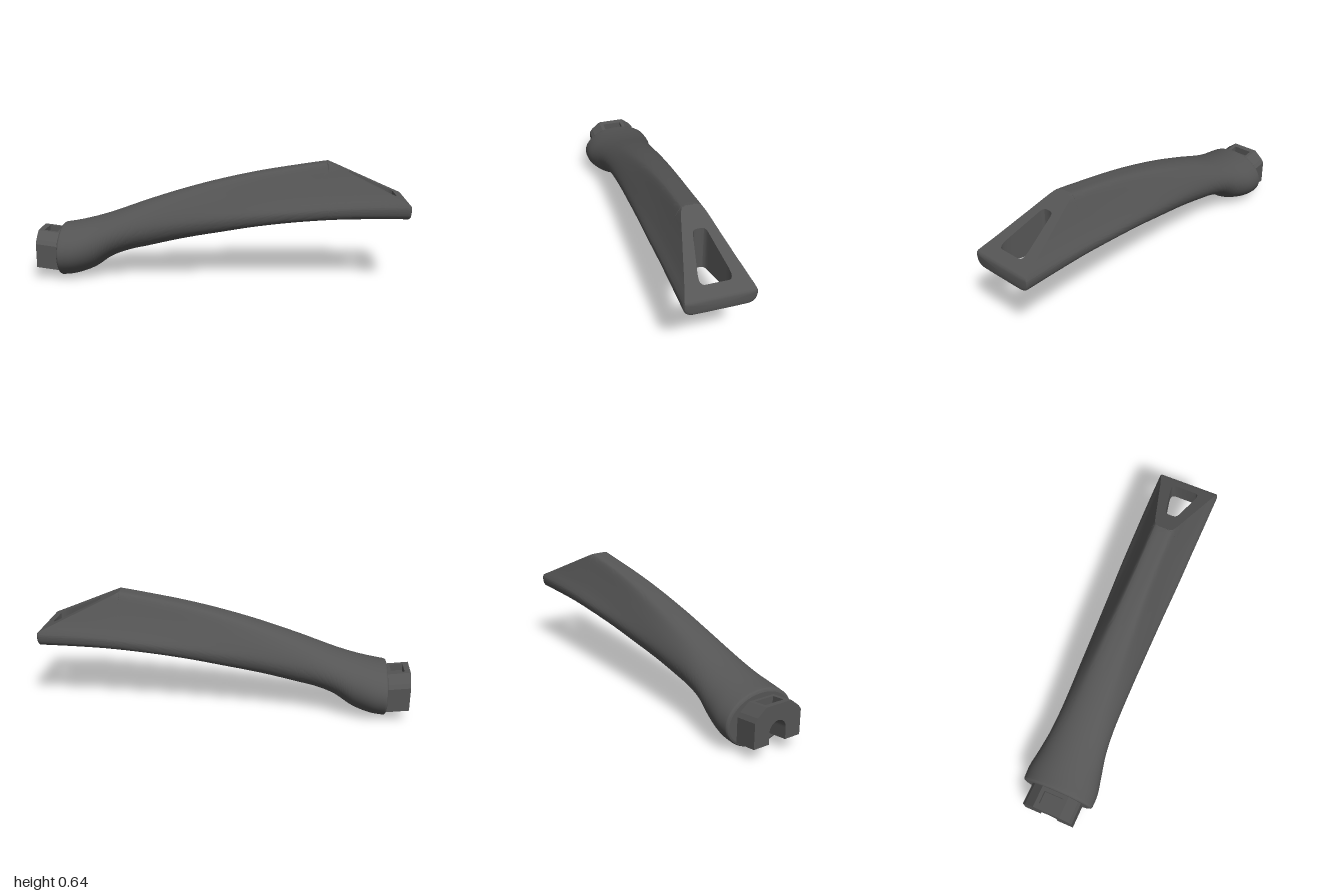
import * as THREE from 'three';
import { toCreasedNormals } from 'three/addons/utils/BufferGeometryUtils.js';

// Profile along the grip: x, top, bottom, half width
const PROFILE = [
  [-0.88, 0.285, 0, 0.2], [-0.8, 0.298, 0.01, 0.2], [-0.7, 0.322, 0.045, 0.181],
  [-0.6, 0.352, 0.11, 0.163], [-0.5, 0.388, 0.148, 0.155], [-0.4, 0.424, 0.172, 0.153],
  [-0.2, 0.488, 0.222, 0.156], [0, 0.542, 0.265, 0.16], [0.2, 0.586, 0.306, 0.164],
  [0.4, 0.62, 0.336, 0.169], [0.6, 0.65, 0.353, 0.172], [0.8, 0.675, 0.36, 0.175],
  [1, 0.695, 0.362, 0.177],
];
// Rounded wedge half section at the tail: width fraction, height fraction
const WEDGE = new THREE.SplineCurve([
  [0, 1], [0.2, 0.995], [0.33, 0.945], [0.55, 0.68], [0.79, 0.41], [0.95, 0.26],
  [1, 0.18], [0.96, 0.07], [0.82, 0.01], [0.5, 0], [0, 0],
].map(p => new THREE.Vector2(...p)));
const X0 = -0.88, X1 = 1, HOLE_Y = 0.115, HOLE_R = 0.055, BORE_R = 0.034, STEP_X = -0.75;
const FLAT = 6, SIDE = 40;

// Smooth interpolation of one profile column
function profile(x, col) {
  let i = 0;
  while (i < PROFILE.length - 2 && x > PROFILE[i + 1][0]) i++;
  const slope = k => {
    const a = PROFILE[Math.max(k - 1, 0)], b = PROFILE[Math.min(k + 1, PROFILE.length - 1)];
    return (b[col] - a[col]) / (b[0] - a[0]);
  };
  const p = PROFILE[i], q = PROFILE[i + 1], h = q[0] - p[0], t = (x - p[0]) / h;
  const t2 = t * t, t3 = t2 * t;
  return p[col] * (2 * t3 - 3 * t2 + 1) + q[col] * (3 * t2 - 2 * t3)
    + h * (slope(i) * (t3 - 2 * t2 + t) + slope(i + 1) * (t3 - t2));
}

function bisect(lo, hi, before) {
  for (let i = 0; i < 30; i++) {
    const m = (lo + hi) / 2;
    if (before(m)) lo = m; else hi = m;
  }
  return (lo + hi) / 2;
}

// One half section: slanted flat, then the side, down to the underside
function section(x, eyelet) {
  const r = 0.014, d = Math.min(x - X0, X1 - x, r);
  const inset = r - Math.sqrt(Math.max(0, r * r - (r - d) ** 2));
  const top = profile(x, 1) - inset, bottom = profile(x, 2) + inset, half = profile(x, 3) - inset;
  const cut = 0.645 - 0.477 * (x - 0.57) - inset;
  const k = THREE.MathUtils.smoothstep(x, -0.7, 0.5);
  const at = s => {
    const w = WEDGE.getPoint(s), a = Math.PI * s;
    const z = s === 0 || s === 1 ? 0 : THREE.MathUtils.lerp(Math.sin(a), w.x, k);
    const t = THREE.MathUtils.lerp((1 + Math.cos(a)) / 2, w.y, k);
    return new THREE.Vector3(x, bottom + (top - bottom) * t, half * z);
  };
  const inBore = p => Math.hypot(p.y - HOLE_Y, p.z) < HOLE_R;
  const s0 = cut < top ? bisect(0, 0.7, s => at(s).y > cut) : 0;
  const open = x < 0 && inBore(at(1));
  let s1 = 1;
  if (open) s1 = bisect(0.7, 1, s => !inBore(at(s)));
  else if (eyelet) s1 = bisect(0.75, 1, s => at(s).z > eyelet);
  const edge = at(s0), pts = [];
  for (let i = 0; i < FLAT; i++) {
    pts.push(new THREE.Vector3(x, edge.y, THREE.MathUtils.lerp(eyelet, edge.z, i / FLAT)));
  }
  for (let i = 0; i <= SIDE; i++) pts.push(at(s0 + (s1 - s0) * i / SIDE));
  return { pts, open, eyelet };
}

// Stations along x, denser at the ends, the screw opening and the slanted cut
function stations() {
  const list = [];
  const run = (a, b, n) => { for (let i = 0; i < n; i++) list.push([a + (b - a) * i / n, 0]); };
  run(X0, -0.864, 5);
  run(-0.864, -0.72, 8);
  run(-0.72, -0.38, 85);
  run(-0.38, 0.56, 40);
  run(0.56, 0.62, 20);
  run(0.62, 0.685, 5);
  list.push([0.685, 0], [0.685, 0.014], [0.688, 0.024], [0.695, 0.031], [0.705, 0.036]);
  for (let i = 1; i < 10; i++) list.push([0.705 + 0.02 * i, 0.036 + 0.0043 * i]);
  list.push([0.91, 0.077], [0.922, 0.075], [0.931, 0.069], [0.935, 0.06], [0.935, 0]);
  run(0.945, 0.986, 4);
  run(0.986, X1, 5);
  list.push([X1, 0]);
  return list;
}

function gripGeometry(rows) {
  const pos = [];
  const area = new THREE.Triangle();
  const tri = (a, b, c) => {
    if (area.set(a, b, c).getArea() < 1e-9) return;
    for (const p of [a, b, c]) pos.push(p.x, p.y, p.z);
    for (const p of [a, c, b]) pos.push(p.x, p.y, -p.z);
  };
  const quad = (a, b, c, d) => { tri(a, b, c); tri(b, d, c); };
  const last = FLAT + SIDE;
  const inner = p => new THREE.Vector3(STEP_X,
    THREE.MathUtils.clamp(p.y, HOLE_Y - HOLE_R, HOLE_Y + HOLE_R), p.z);
  for (let i = 0; i < rows.length - 1; i++) {
    const A = rows[i], B = rows[i + 1], a = A.pts, b = B.pts;
    for (let j = 0; j < last; j++) quad(a[j], a[j + 1], b[j], b[j + 1]);
    // Walls of the hanging hole and of the screw recess
    if (A.eyelet || B.eyelet) quad(a[last], a[0], b[last], b[0]);
    if (A.open || B.open) quad(a[last], inner(a[last]), b[last], inner(b[last]));
  }
  // Flat tail end
  const end = rows[rows.length - 1].pts;
  const mid = new THREE.Vector3(X1, 0.4, 0);
  for (let j = 0; j < last; j++) tri(mid, end[j], end[j + 1]);
  const g = new THREE.BufferGeometry();
  g.setAttribute('position', new THREE.Float32BufferAttribute(pos, 3));
  return toCreasedNormals(g, 0.45);
}

// Slotted outline of the mounting tenon, with an optional notch on top
function tenonSlice(xa, xb, notched) {
  const s = new THREE.Shape();
  s.moveTo(-0.05, 0.07);
  s.lineTo(-0.14, 0.07);
  s.lineTo(-0.14, 0.2);
  s.lineTo(-0.125, 0.222);
  s.lineTo(-0.075, 0.262);
  if (notched) {
    for (const [z, y] of [[-0.055, 0.262], [-0.055, 0.225], [0.055, 0.225], [0.055, 0.262]]) s.lineTo(z, y);
  }
  s.lineTo(0.075, 0.262);
  s.lineTo(0.125, 0.222);
  s.lineTo(0.14, 0.2);
  s.lineTo(0.14, 0.07);
  s.lineTo(0.05, 0.07);
  s.absarc(0, 0.13, 0.05, 0, Math.PI, false);
  const g = new THREE.ExtrudeGeometry(s, { depth: xb - xa, bevelEnabled: false, curveSegments: 12 });
  g.rotateY(-Math.PI / 2).translate(xb, 0, 0);
  // Slight downward lean toward the grip
  const p = g.attributes.position;
  for (let i = 0; i < p.count; i++) p.setY(i, p.getY(i) - 0.13 * (p.getX(i) + 1));
  g.computeVertexNormals();
  return g;
}

export function createModel() {
  const model = new THREE.Group();
  model.name = 'panHandle';
  const plastic = new THREE.MeshStandardMaterial({ color: 0x555555, side: THREE.DoubleSide });
  plastic.name = 'darkGreyPlastic';
  const add = (name, geometry, parent = model) => {
    const m = new THREE.Mesh(geometry, plastic);
    m.name = name;
    parent.add(m);
    return m;
  };

  const rows = stations().map(([x, eyelet]) => section(x, eyelet));
  add('grip', gripGeometry(rows));

  // Front face around the screw bore
  const rim = rows[0].pts.slice(FLAT);
  const outline = [...rim.map(p => new THREE.Vector2(p.z, p.y)),
    ...rim.slice(1, -1).reverse().map(p => new THREE.Vector2(-p.z, p.y))];
  const face = new THREE.Shape(outline);
  face.holes.push(new THREE.Path().absarc(0, HOLE_Y, BORE_R, 0, Math.PI * 2, true));
  add('frontFace', new THREE.ShapeGeometry(face, 24).rotateY(-Math.PI / 2).translate(X0, 0, 0));

  // Screw seat and narrow bore
  add('screwSeat', new THREE.RingGeometry(BORE_R, HOLE_R, 40).rotateY(Math.PI / 2).translate(STEP_X, HOLE_Y, 0));
  add('screwBore', new THREE.CylinderGeometry(BORE_R, BORE_R, STEP_X - X0, 40, 1, true)
    .rotateZ(Math.PI / 2).translate((STEP_X + X0) / 2, HOLE_Y, 0));

  // Mounting tenon with a shallow pocket on top
  const tenon = new THREE.Group();
  tenon.name = 'mountingTenon';
  model.add(tenon);
  add('tenonTip', tenonSlice(-1, -0.97, false), tenon);
  add('tenonPocket', tenonSlice(-0.97, -0.9, true), tenon);
  add('tenonRoot', tenonSlice(-0.9, -0.878, false), tenon);
  return model;
}
